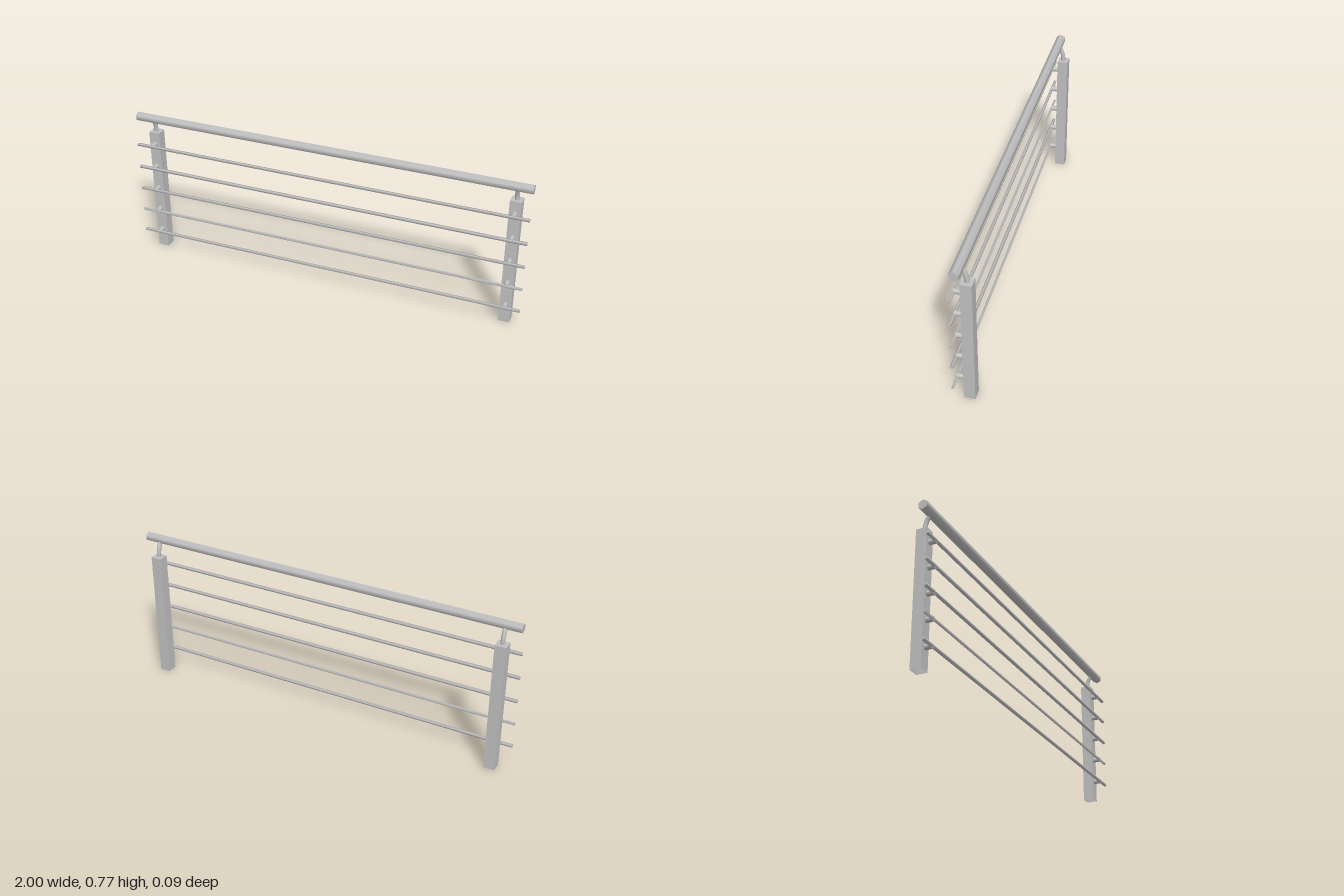
import * as THREE from 'three';

export function createModel() {
  const model = new THREE.Group();
  model.name = 'railing';
  const steel = new THREE.MeshStandardMaterial({ color: 0xc0c0c0, side: THREE.DoubleSide });
  steel.name = 'brushed steel';

  const add = (name, geometry, x, y, z) => {
    const mesh = new THREE.Mesh(geometry, steel);
    mesh.name = name;
    mesh.position.set(x, y, z);
    model.add(mesh);
    return mesh;
  };

  // Bar running the full length along x, turned by a given angle
  const bar = (name, radius, sides, turn, y, z) => {
    const geometry = new THREE.CylinderGeometry(radius, radius, 2, sides);
    geometry.rotateZ(Math.PI / 2).rotateX(turn);
    add(name, geometry, 0, y, z);
  };

  // Hexagonal handrail with a point at the top
  bar('handrail', 0.0245, 6, Math.PI / 2, 0.75, 0.0115);

  // Thin crossbars, each turned a little differently
  const heights = [0.103, 0.228, 0.353, 0.479, 0.604];
  const turns = [0.45, 0, 0.5, 0.78, 0.6];
  heights.forEach((y, i) => bar('crossbar', 0.0088, 4, turns[i], y, 0.0385));

  // Hollow post: a box without its bottom face
  const post = new THREE.BoxGeometry(0.055, 0.667, 0.053);
  const index = Array.from(post.index.array);
  index.splice(18, 6);
  post.setIndex(index);
  post.clearGroups();

  // Curved arm carrying the handrail
  const armPath = new THREE.CatmullRomCurve3([
    new THREE.Vector3(0, 0.66, -0.02),
    new THREE.Vector3(0, 0.69, -0.0185),
    new THREE.Vector3(0, 0.717, -0.0115),
    new THREE.Vector3(0, 0.742, 0.002),
  ]);
  const arm = new THREE.TubeGeometry(armPath, 8, 0.011, 10);

  // Short peg holding a crossbar
  const peg = new THREE.CylinderGeometry(0.0127, 0.0127, 0.037, 10);
  peg.rotateX(Math.PI / 2);

  for (const x of [-0.922, 0.922]) {
    add('post', post, x, 0.3335, -0.021);
    add('handrailArm', arm, x, 0, 0);
    for (const y of heights) add('crossbarPeg', peg, x, y, 0.0225);
  }
  return model;
}
